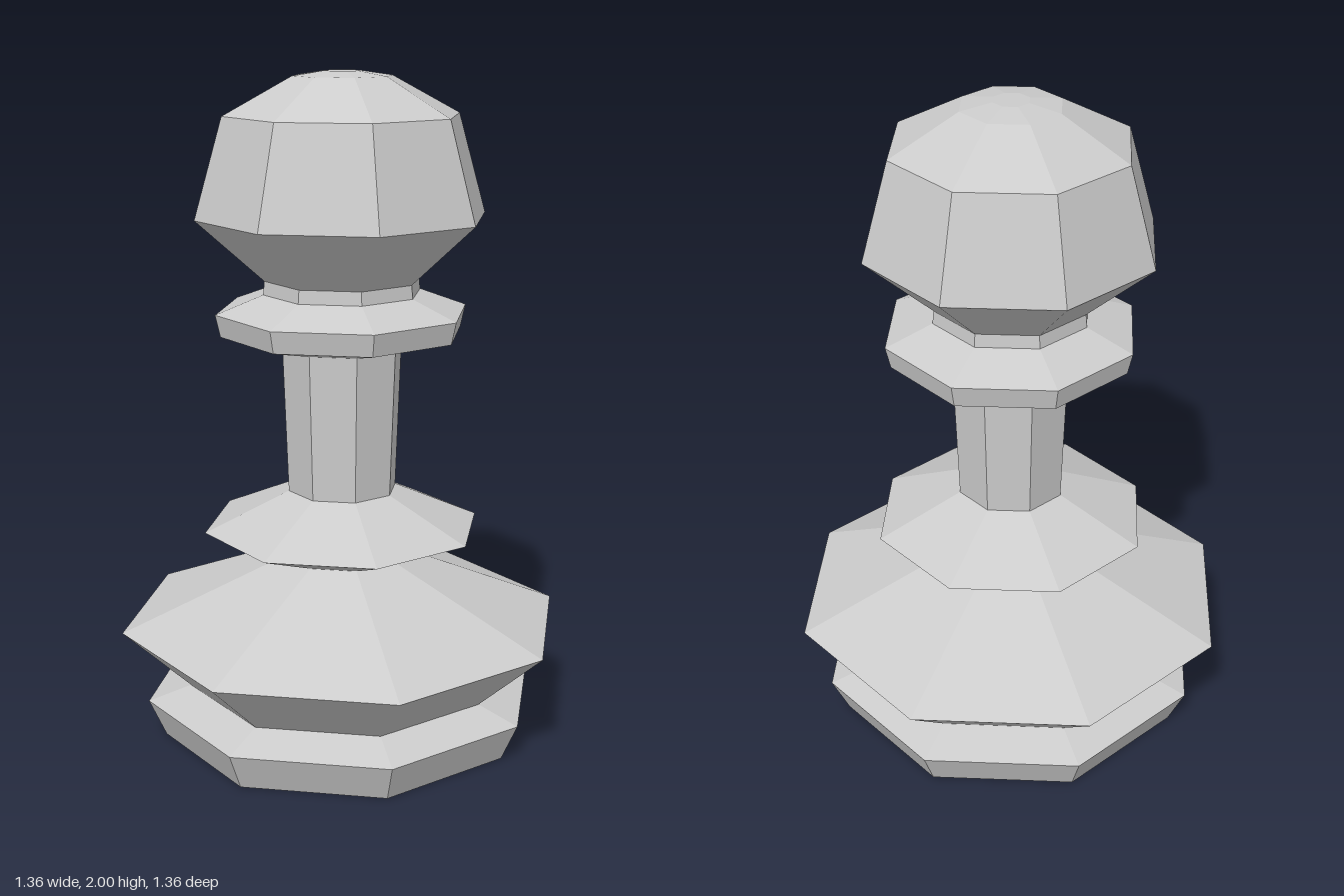
import * as THREE from 'three';

const material = new THREE.MeshStandardMaterial({ color: 0xcccccc, flatShading: true });

// Eight-sided turned section; profile is [radius, height] from bottom to top
function turned(name, profile) {
  const points = profile.map(([r, y]) => new THREE.Vector2(r, y));
  const mesh = new THREE.Mesh(new THREE.LatheGeometry(points, 8), material);
  mesh.name = name;
  return mesh;
}

export function createModel() {
  const pawn = new THREE.Group();
  pawn.name = 'chessPawn';
  pawn.add(
    // Foot with closed underside
    turned('foot', [[0, 0], [0.557, 0], [0.608, 0.115], [0.478, 0.155]]),
    // Wide flared body
    turned('body', [[0.478, 0.155], [0.682, 0.343], [0.183, 0.55]]),
    // Sharp ring below the stem
    turned('lowerRing', [[0.183, 0.55], [0.424, 0.642], [0.166, 0.757]]),
    // Slender stem, slightly wider at the top
    turned('stem', [[0.166, 0.757], [0.182, 1.197]]),
    // Collar and short neck
    turned('collar', [[0.182, 1.197], [0.366, 1.24], [0.381, 1.306], [0.238, 1.36]]),
    turned('neck', [[0.238, 1.36], [0.234, 1.4]]),
    // Faceted head
    turned('head', [[0.234, 1.4], [0.436, 1.583], [0.352, 1.876], [0.148, 1.986], [0.054, 2], [0, 2]]),
  );
  return pawn;
}
